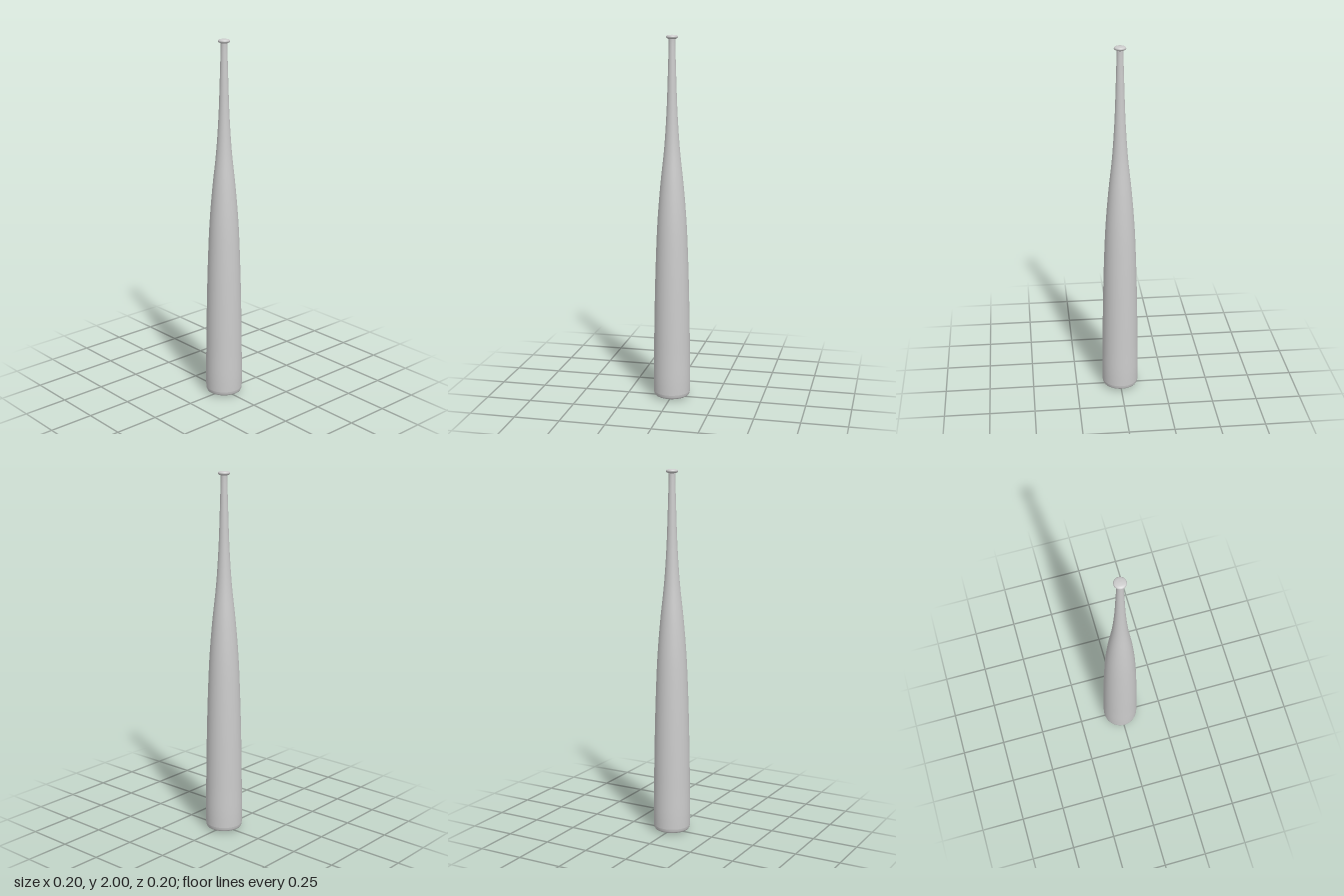
import * as THREE from 'three';

const SEGMENTS = 64;

export function createModel() {
  const group = new THREE.Group();
  const material = new THREE.MeshStandardMaterial({ color: 0xcccccc });
  const toPoints = (pairs) => pairs.map(([r, y]) => new THREE.Vector2(r, y));

  // Turned part from a [radius, height] profile running bottom to top
  const turn = (name, points) => {
    const mesh = new THREE.Mesh(new THREE.LatheGeometry(points, SEGMENTS), material);
    mesh.name = name;
    group.add(mesh);
  };

  // Slightly domed end with a rounded rim
  turn('barrelEnd', toPoints([[0, 0], [0.05, 0.004], [0.088, 0.01]]));
  turn('barrelRim', toPoints([[0.088, 0.01], [0.095, 0.014], [0.099, 0.022], [0.101, 0.035]]));

  // Barrel tapering smoothly into the slim handle
  const taper = new THREE.SplineCurve(toPoints([
    [0.101, 0.035], [0.102, 0.12], [0.1, 0.25], [0.098, 0.4], [0.094, 0.6],
    [0.088, 0.8], [0.079, 1.0], [0.063, 1.2], [0.042, 1.4], [0.029, 1.6],
    [0.022, 1.8], [0.018, 1.94], [0.018, 1.98],
  ]));
  turn('barrelAndHandle', taper.getPoints(48));

  // Flared knob with a shallow domed cap
  turn('knob', toPoints([
    [0.018, 1.978], [0.024, 1.98], [0.03, 1.984], [0.032, 1.989],
    [0.031, 1.993], [0.027, 1.997], [0.016, 1.999], [0, 2],
  ]));

  return group;
}
